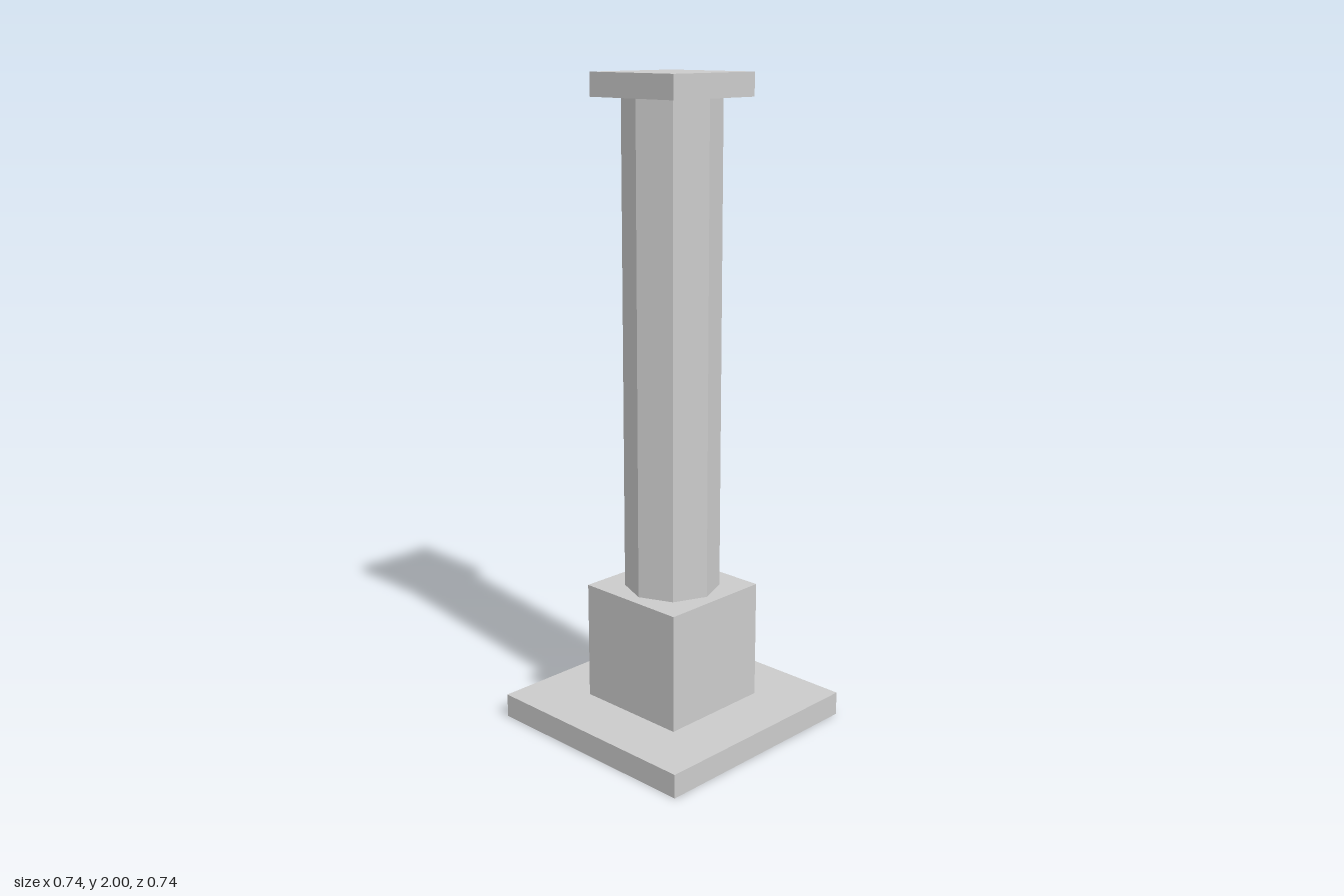
import * as THREE from 'three';

const material = new THREE.MeshStandardMaterial({
  color: 0xcccccc, flatShading: true, side: THREE.DoubleSide,
});

// Square block with a top and four walls, open underneath
function openBlock(name, width, bottom, top) {
  const geometry = new THREE.BoxGeometry(width, top - bottom, width);
  const index = Array.from(geometry.index.array);
  index.splice(18, 6); // drop the bottom face
  geometry.setIndex(index);
  geometry.clearGroups();
  geometry.translate(0, (bottom + top) / 2, 0);
  const mesh = new THREE.Mesh(geometry, material);
  mesh.name = name;
  return mesh;
}

export function createModel() {
  const group = new THREE.Group();
  group.name = 'column';

  // Stepped foot
  group.add(openBlock('basePlate', 0.74, 0, 0.074));
  group.add(openBlock('pedestal', 0.37, 0.074, 0.444));

  // Eight-sided shaft with corners on the axes
  const shaft = new THREE.Mesh(
    new THREE.CylinderGeometry(0.147, 0.147, 1.486, 8, 1, true), material);
  shaft.name = 'shaft';
  shaft.position.y = 0.444 + 1.486 / 2;
  group.add(shaft);

  // Square slab on top
  group.add(openBlock('capital', 0.333, 1.93, 2));

  return group;
}
